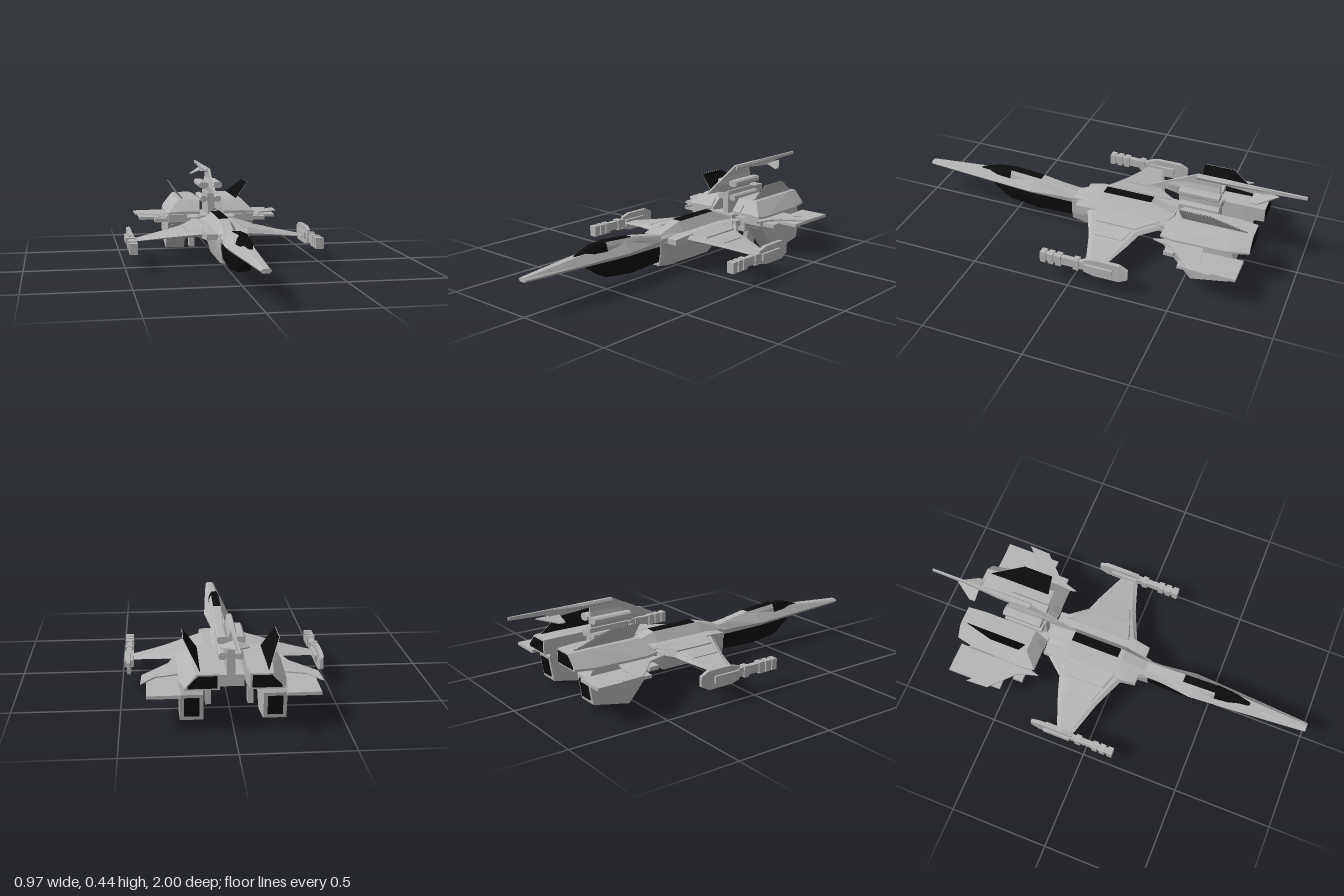
import * as THREE from 'three';

const grey = new THREE.MeshStandardMaterial({ color: 0xb4b4b4 });
grey.name = 'hull grey';
const black = new THREE.MeshStandardMaterial({ color: 0x0c0c0c });
black.name = 'glass black';

// Skin a list of equal-length convex rings, cap both ends and face it outwards.
function loft(rings, sx = 1) {
  const tris = [], n = rings[0].length, last = rings.length - 1;
  const R = rings.map(r => r.map(p => new THREE.Vector3(p[0] * sx, p[1], p[2])));
  for (let i = 0; i < last; i++) for (let j = 0; j < n; j++) {
    const k = (j + 1) % n;
    tris.push([R[i][j], R[i + 1][j], R[i + 1][k]], [R[i][j], R[i + 1][k], R[i][k]]);
  }
  for (let j = 1; j < n - 1; j++) {
    tris.push([R[0][0], R[0][j], R[0][j + 1]], [R[last][0], R[last][j + 1], R[last][j]]);
  }
  const c = R[0][0];
  let volume = 0;
  for (const t of tris) {
    const [a, b, d] = t.map(v => v.clone().sub(c));
    volume += a.dot(b.cross(d));
  }
  const pos = [];
  for (const t of tris) for (const v of volume < 0 ? [t[0], t[2], t[1]] : t) pos.push(v.x, v.y, v.z);
  const g = new THREE.BufferGeometry();
  g.setAttribute('position', new THREE.Float32BufferAttribute(pos, 3));
  g.computeVertexNormals();
  return g;
}

// Symmetric six-sided hull ring at z.
const hex = (z, wTop, yTop, w, yMid, wBot, yBot) => [
  [wTop, yTop, z], [w, yMid, z], [wBot, yBot, z], [-wBot, yBot, z], [-w, yMid, z], [-wTop, yTop, z]];

// Four-sided ring at z.
const quad = (z, x0, x1, y0, y1) => [[x0, y0, z], [x1, y0, z], [x1, y1, z], [x0, y1, z]];

// Slab from a plan outline of [x, z, yMiddle] with a thickness.
const slab = (pts, t) => [-t / 2, t / 2].map(d => pts.map(([x, z, y]) => [x, y + d, z]));

export function createModel() {
  const model = new THREE.Group();
  const add = (name, geometry, material = grey) => {
    const m = new THREE.Mesh(geometry, material);
    m.name = name;
    model.add(m);
    return m;
  };
  const box = (name, x0, x1, y0, y1, z0, z1, material) => {
    const g = new THREE.BoxGeometry(x1 - x0, y1 - y0, z1 - z0);
    add(name, g.translate((x0 + x1) / 2, (y0 + y1) / 2, (z0 + z1) / 2), material);
  };

  // Nose, canopy and belly
  add('nose', loft([
    hex(1, 0.012, 0.185, 0.024, 0.176, 0.015, 0.165),
    hex(0.62, 0.02, 0.216, 0.052, 0.172, 0.035, 0.155),
    hex(0.4, 0.028, 0.222, 0.066, 0.17, 0.045, 0.148),
    hex(0.22, 0.028, 0.204, 0.045, 0.17, 0.04, 0.145),
    hex(0.13, 0.028, 0.195, 0.045, 0.17, 0.04, 0.145)]));
  add('canopy', loft([
    hex(0.7, 0.006, 0.211, 0.014, 0.205, 0.014, 0.195),
    hex(0.6, 0.014, 0.241, 0.026, 0.218, 0.034, 0.19),
    hex(0.52, 0.02, 0.243, 0.03, 0.225, 0.04, 0.19)]), black);
  add('spine', loft([
    hex(0.52, 0.02, 0.242, 0.03, 0.225, 0.04, 0.19),
    hex(0.33, 0.02, 0.228, 0.032, 0.21, 0.04, 0.19),
    hex(0.14, 0.02, 0.195, 0.03, 0.185, 0.04, 0.17)]));
  add('canopyStrip', loft([quad(0.52, -0.02, 0.02, 0.24, 0.245), quad(0.35, -0.02, 0.02, 0.227, 0.232)]), black);
  add('belly', loft([
    hex(0.62, 0.03, 0.165, 0.034, 0.158, 0.025, 0.135),
    hex(0.53, 0.034, 0.165, 0.04, 0.13, 0.03, 0.075),
    hex(0.37, 0.036, 0.165, 0.041, 0.12, 0.033, 0.056),
    hex(0.16, 0.036, 0.165, 0.041, 0.12, 0.033, 0.065)]), black);

  // Main hull
  add('upperHull', loft([
    hex(0.16, 0.025, 0.195, 0.045, 0.18, 0.045, 0.15),
    hex(0.02, 0.025, 0.238, 0.06, 0.19, 0.06, 0.15),
    hex(-0.25, 0.025, 0.24, 0.06, 0.19, 0.06, 0.15),
    hex(-0.38, 0.025, 0.2, 0.06, 0.185, 0.06, 0.15)]));
  add('lowerHull', loft([
    hex(0.17, 0.045, 0.16, 0.042, 0.08, 0.032, 0.042),
    hex(0.1, 0.06, 0.16, 0.045, 0.08, 0.034, 0.032),
    hex(-0.2, 0.065, 0.16, 0.048, 0.08, 0.034, 0.032),
    hex(-0.38, 0.06, 0.165, 0.05, 0.15, 0.034, 0.135)]));
  box('dorsalStrip', -0.024, 0.024, 0.236, 0.243, -0.25, 0, black);
  box('rearHull', -0.06, 0.06, 0.145, 0.2, -0.6, -0.37);
  box('crossBeam', -0.15, 0.15, 0.165, 0.188, -0.58, -0.4);
  box('pylon', -0.018, 0.018, 0.19, 0.32, -0.6, -0.39);

  // Tall centre fin with its swept boom
  const fin = new THREE.ExtrudeGeometry(new THREE.Shape([
    [0.23, 0.33], [0.47, 0.446], [1, 0.446], [1, 0.432], [0.83, 0.425], [0.77, 0.405],
    [0.59, 0.42], [0.59, 0.385], [0.55, 0.3], [0.4, 0.3], [0.4, 0.325]].map(p => new THREE.Vector2(...p))),
  { depth: 0.01, bevelEnabled: false });
  add('centreFin', fin.translate(0, 0, -0.005).rotateY(Math.PI / 2));
  add('finBoom', loft([
    hex(-0.47, 0.008, 0.446, 0.014, 0.435, 0.008, 0.422),
    hex(-0.62, 0.008, 0.446, 0.014, 0.435, 0.008, 0.422),
    hex(-0.86, 0.003, 0.444, 0.004, 0.438, 0.003, 0.43)]));
  add('finBulge', loft([
    hex(-0.3, 0.003, 0.37, 0.004, 0.35, 0.003, 0.33),
    hex(-0.42, 0.004, 0.4, 0.015, 0.36, 0.006, 0.31),
    hex(-0.59, 0.004, 0.4, 0.015, 0.36, 0.006, 0.31)]));

  for (const s of [1, -1]) {
    const part = (name, rings, material) => add(name, loft(rings, s), material);
    const block = (name, x0, x1, y0, y1, z0, z1, material) =>
      part(name, [quad(z0, x0, x1, y0, y1), quad(z1, x0, x1, y0, y1)], material);

    // Shoulder fairings beside the hull
    part('shoulder', [
      quad(0.125, 0.05, 0.105, 0.152, 0.18), quad(0.05, 0.05, 0.115, 0.148, 0.19),
      quad(-0.25, 0.05, 0.125, 0.148, 0.192), quad(-0.37, 0.05, 0.12, 0.155, 0.185)]);

    // Forward wing, thinning and drooping to the tip
    const rib = (x, zb, zf, y, t) => [
      [x, y, zf], [x, y + t, zf - 0.02], [x, y + t, zb + 0.02], [x, y, zb], [x, y - t, zb + 0.02], [x, y - t, zf - 0.02]];
    part('wing', [rib(0.1, -0.37, 0.06, 0.172, 0.016), rib(0.2, -0.25, 0.015, 0.158, 0.013),
      rib(0.28, -0.225, -0.02, 0.146, 0.009), rib(0.45, -0.16, -0.075, 0.122, 0.004)]);
    part('wingRootPanel', [rib(0.1, -0.34, 0.03, 0.174, 0.021), rib(0.185, -0.24, 0, 0.162, 0.018)]);
    part('wingMidPanel', [rib(0.2, -0.23, -0.005, 0.158, 0.017), rib(0.27, -0.205, -0.03, 0.148, 0.013)]);

    // Wing tip gun
    part('gunBody', [quad(-0.292, 0.457, 0.473, 0.1, 0.15), quad(-0.25, 0.455, 0.475, 0.078, 0.17),
      quad(-0.12, 0.455, 0.475, 0.078, 0.17), quad(-0.07, 0.457, 0.473, 0.09, 0.155)]);
    block('gunCollar', 0.442, 0.487, 0.106, 0.14, -0.22, -0.08);
    block('gunBarrel', 0.452, 0.478, 0.102, 0.145, -0.08, 0.14);
    for (const z of [-0.05, 0.04, 0.08, 0.12]) block('gunRing', 0.445, 0.485, 0.095, 0.15, z, z + 0.028);

    // Upper engine pod with sloped front, window frame and dark outlet
    const pod = (z, xi, xt, xo, y0, y1) => [[xi, y0, z], [xo, y0, z], [xo, y0 + 0.01, z], [xt, y1, z], [xi, y1, z]];
    part('upperPod', [pod(-0.37, 0.065, 0.17, 0.235, 0.21, 0.225), pod(-0.43, 0.058, 0.175, 0.243, 0.205, 0.282),
      pod(-0.7, 0.058, 0.175, 0.235, 0.205, 0.284), pod(-0.8, 0.065, 0.165, 0.215, 0.21, 0.28)]);
    part('podIntakeFrame', [quad(-0.365, 0.078, 0.118, 0.222, 0.226), quad(-0.4, 0.078, 0.118, 0.222, 0.266)]);
    part('podOutlet', [pod(-0.799, 0.075, 0.158, 0.203, 0.218, 0.273), pod(-0.804, 0.075, 0.158, 0.203, 0.218, 0.273)], black);

    // Canted fin, dark on its inner face
    const finPlate = o => [[0.147 + o, 0.283, -0.45], [0.21 + o, 0.372, -0.45], [0.21 + o, 0.372, -0.6], [0.147 + o, 0.283, -0.77]];
    part('cantedFinInner', [finPlate(0), finPlate(0.002)], black);
    part('cantedFinOuter', [finPlate(0.002), finPlate(0.005)]);

    // Lower engine, raked at the front, with a dark outlet
    const engine = (x0, x1) => [x0, x1].map(x => [
      [x, 0.205, -0.39], [x, 0.165, -0.39], [x, 0.002, -0.53], [x, 0.04, -0.72], [x, 0.165, -0.74], [x, 0.205, -0.72]]);
    part('lowerEngine', engine(0.132, 0.235));
    part('engineOutlet', [0.15, 0.217].map(x => [
      [x, 0.06, -0.721], [x, 0.15, -0.735], [x, 0.15, -0.744], [x, 0.06, -0.73]]), black);
    part('engineIntakePanel', [0.148, 0.219].map(x => [
      [x, 0.15, -0.399], [x, 0.022, -0.509], [x, 0.022, -0.52], [x, 0.15, -0.41]]));
    block('strut', 0.085, 0.112, 0.018, 0.12, -0.5, -0.44);
    block('strutHead', 0.078, 0.122, 0.115, 0.17, -0.54, -0.4);

    // Rear outer wing, plate and forward spike
    part('rearWing', slab([[0.2, -0.45, 0.204], [0.27, -0.43, 0.201], [0.4, -0.56, 0.191],
      [0.405, -0.67, 0.191], [0.34, -0.6, 0.196], [0.2, -0.58, 0.204]], 0.006));
    part('wingSpike', slab([[0.215, -0.46, 0.2], [0.25, -0.34, 0.199], [0.285, -0.46, 0.199]], 0.008));
    block('rearPlate', 0.23, 0.38, 0.166, 0.181, -0.78, -0.5);
    block('sensorBox', 0.23, 0.305, 0.164, 0.184, -0.46, -0.41);

    // Small pods and tail vanes on the centre fin
    const bulb = (x0, x1, y, h) => [[x0, 0.4], [x0 + 0.018, 1], [x1 - 0.008, 1], [x1, 0.5]].map(([x, k]) =>
      [[x, y - h * k, -0.6], [x, y - h * k, -0.4], [x, y + h * k, -0.4], [x, y + h * k, -0.6]]);
    part('upperBulb', bulb(0.008, 0.063, 0.363, 0.016));
    part('lowerBulb', bulb(0.014, 0.056, 0.287, 0.016));
    part('tailVane', slab([[0, -0.87, 0.414], [0.062, -0.78, 0.391], [0.062, -0.75, 0.391], [0, -0.75, 0.414]], 0.005));
  }
  return model;
}
